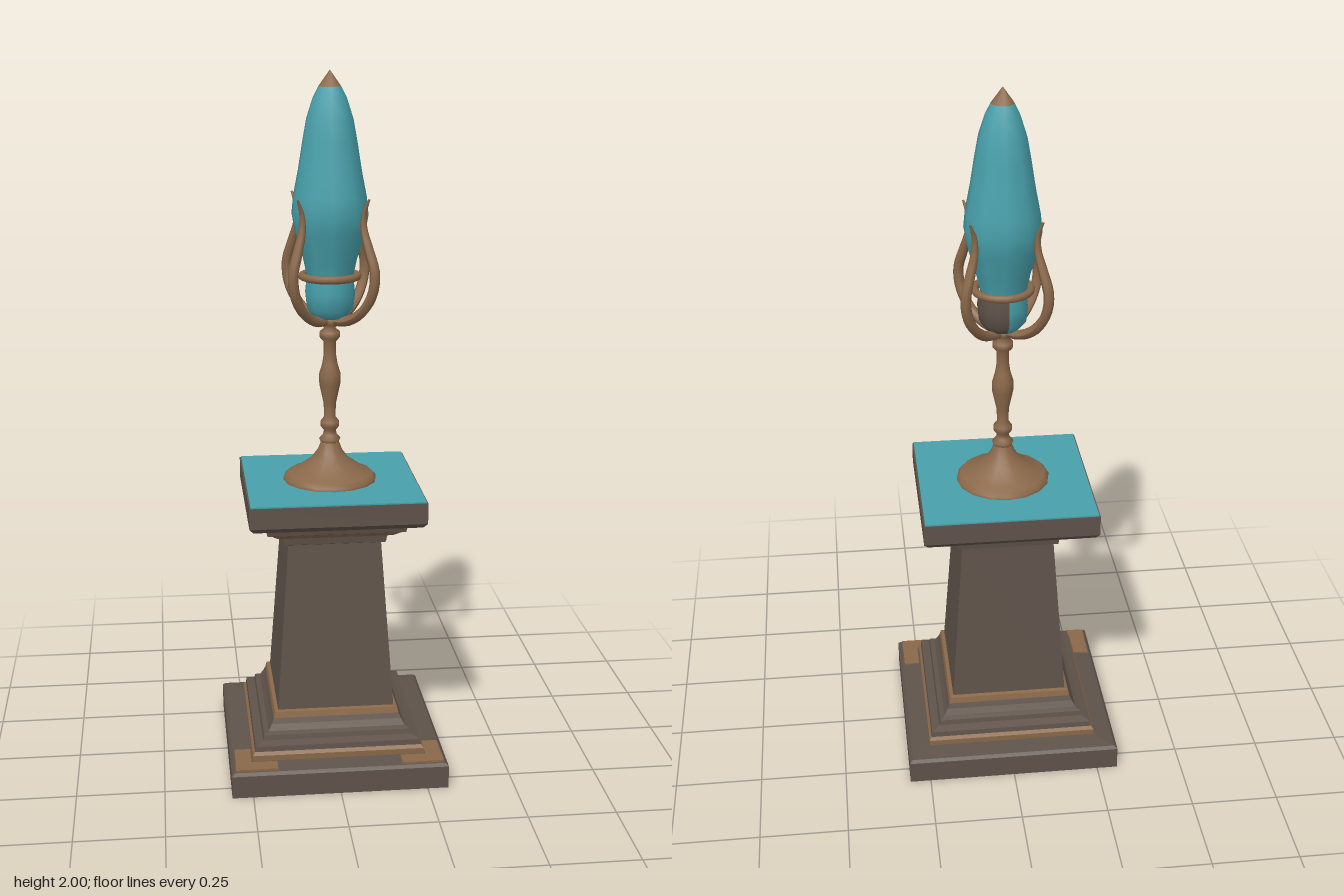
import * as THREE from 'three';

const mat = (name, color) => {
  const m = new THREE.MeshStandardMaterial({ color });
  m.name = name;
  return m;
};
const vecs = (pts) => pts.map(([r, y]) => new THREE.Vector2(r, y));

export function createModel() {
  const model = new THREE.Group();
  model.name = 'crystalLampOnPedestal';
  const stone = mat('darkStone', 0x5f534a);
  const bronze = mat('bronze', 0x8a6849);
  const teal = mat('teal', 0x48a0ab);

  const add = (parent, name, geometry, material) => {
    const mesh = new THREE.Mesh(geometry, material);
    mesh.name = name;
    parent.add(mesh);
    return mesh;
  };
  const group = (name) => {
    const g = new THREE.Group();
    g.name = name;
    model.add(g);
    return g;
  };

  // Square moulding: [half width, y] profile swept round four flat sides
  const square = (pts) => {
    const p = vecs(pts.map(([h, y]) => [h * Math.SQRT2, y]));
    const g = new THREE.LatheGeometry(p, 4, Math.PI / 4).toNonIndexed();
    g.computeVertexNormals();
    return g;
  };

  // Pedestal, from the ground up
  const pedestal = group('pedestal');
  add(pedestal, 'plinth', square([[0, 0], [0.31, 0], [0.31, 0.066], [0.302, 0.074], [0.247, 0.08]]), stone);
  add(pedestal, 'plinthTrim', square([[0.247, 0.08], [0.247, 0.096], [0.24, 0.105]]), bronze);
  add(pedestal, 'lowerMoulding', square([[0.24, 0.105], [0.238, 0.12], [0.215, 0.128], [0.212, 0.142],
    [0.198, 0.148], [0.188, 0.165], [0.182, 0.18]]), stone);
  add(pedestal, 'shaftTrim', square([[0.182, 0.18], [0.178, 0.197], [0.168, 0.2]]), bronze);
  add(pedestal, 'shaft', square([[0.168, 0.2], [0.133, 0.69], [0.145, 0.695], [0.148, 0.715]]), stone);
  add(pedestal, 'capitalTrim', square([[0.148, 0.715], [0.165, 0.722], [0.182, 0.735]]), bronze);
  add(pedestal, 'capital', square([[0.182, 0.735], [0.195, 0.74], [0.2, 0.762], [0.236, 0.766],
    [0.248, 0.78], [0.248, 0.84], [0, 0.84]]), stone);
  add(pedestal, 'topPanel', new THREE.BoxGeometry(0.488, 0.006, 0.492), teal).position.y = 0.841;

  // Worn bronze patches on the front corners of the plinth
  for (const s of [-1, 1]) {
    add(pedestal, 'frontWear', new THREE.BoxGeometry(0.12, 0.009, 0.046), bronze)
      .position.set(s * 0.238, 0.076, 0.274);
    add(pedestal, 'sideWear', new THREE.BoxGeometry(0.046, 0.009, 0.08), bronze)
      .position.set(s * 0.274, 0.076, 0.211);
  }

  // Turned foot and stem
  const stand = group('stand');
  add(stand, 'foot', new THREE.LatheGeometry(vecs([[0.134, 0.842], [0.134, 0.852], [0.122, 0.864],
    [0.105, 0.868], [0.085, 0.884], [0.055, 0.905], [0.036, 0.93], [0.026, 0.955]]), 16), bronze);
  add(stand, 'stem', new THREE.LatheGeometry(vecs([[0.026, 0.955], [0.031, 0.965], [0.02, 0.977],
    [0.017, 0.99], [0.027, 1.002], [0.027, 1.016], [0.016, 1.03], [0.018, 1.07], [0.03, 1.125],
    [0.031, 1.155], [0.022, 1.185], [0.018, 1.21], [0.018, 1.25], [0.029, 1.262], [0.029, 1.278],
    [0.016, 1.288], [0.026, 1.3], [0.03, 1.318], [0, 1.33]]), 12), bronze);

  // Four curled prongs on the diagonals, tapering to the tip
  const curve = new THREE.CatmullRomCurve3([[0.01, 1.31], [0.06, 1.315], [0.112, 1.345], [0.15, 1.4],
    [0.158, 1.46], [0.138, 1.52], [0.12, 1.575], [0.12, 1.62], [0.138, 1.662]]
    .map(([r, y]) => new THREE.Vector3(r, y, 0)));
  const segs = 24, sides = 8;
  const prong = new THREE.TubeGeometry(curve, segs, 0.0145, sides);
  const pos = prong.attributes.position;
  const v = new THREE.Vector3();
  for (let i = 0; i <= segs; i++) {
    const c = curve.getPointAt(i / segs);
    const k = i / segs < 0.6 ? 1 : 1 - 0.8 * ((i / segs - 0.6) / 0.4) ** 1.5;
    for (let j = 0; j <= sides; j++) {
      const n = i * (sides + 1) + j;
      v.fromBufferAttribute(pos, n).sub(c).multiplyScalar(k).add(c);
      pos.setXYZ(n, v.x, v.y, v.z);
    }
  }
  prong.computeVertexNormals();
  for (let i = 0; i < 4; i++) {
    add(stand, 'prong', prong, bronze).rotation.y = Math.PI / 4 + (i * Math.PI) / 2;
  }

  // Ring holding the crystal
  const ring = add(stand, 'holdingRing', new THREE.TorusGeometry(0.078, 0.011, 8, 20), bronze);
  ring.rotation.x = Math.PI / 2;
  ring.position.y = 1.437;

  // Crystal: teal body, bronze tip, dark patch at the lower back left
  const crystal = group('crystal');
  const base = vecs([[0, 1.31], [0.045, 1.32], [0.066, 1.345], [0.071, 1.39], [0.066, 1.435]]);
  const patch = Math.PI * 0.6, start = Math.PI * 0.45;
  add(crystal, 'darkBase', new THREE.LatheGeometry(base, 4, start, patch), stone);
  add(crystal, 'tealBase', new THREE.LatheGeometry(base, 8, start + patch, Math.PI * 2 - patch), teal);
  add(crystal, 'body', new THREE.LatheGeometry(vecs([[0.066, 1.435], [0.078, 1.49], [0.1, 1.56],
    [0.109, 1.61], [0.104, 1.66], [0.09, 1.73], [0.077, 1.81], [0.066, 1.87], [0.048, 1.925],
    [0.032, 1.956]]), 10), teal);
  add(crystal, 'tip', new THREE.LatheGeometry(vecs([[0.032, 1.956], [0, 2]]), 10), bronze);

  return model;
}
